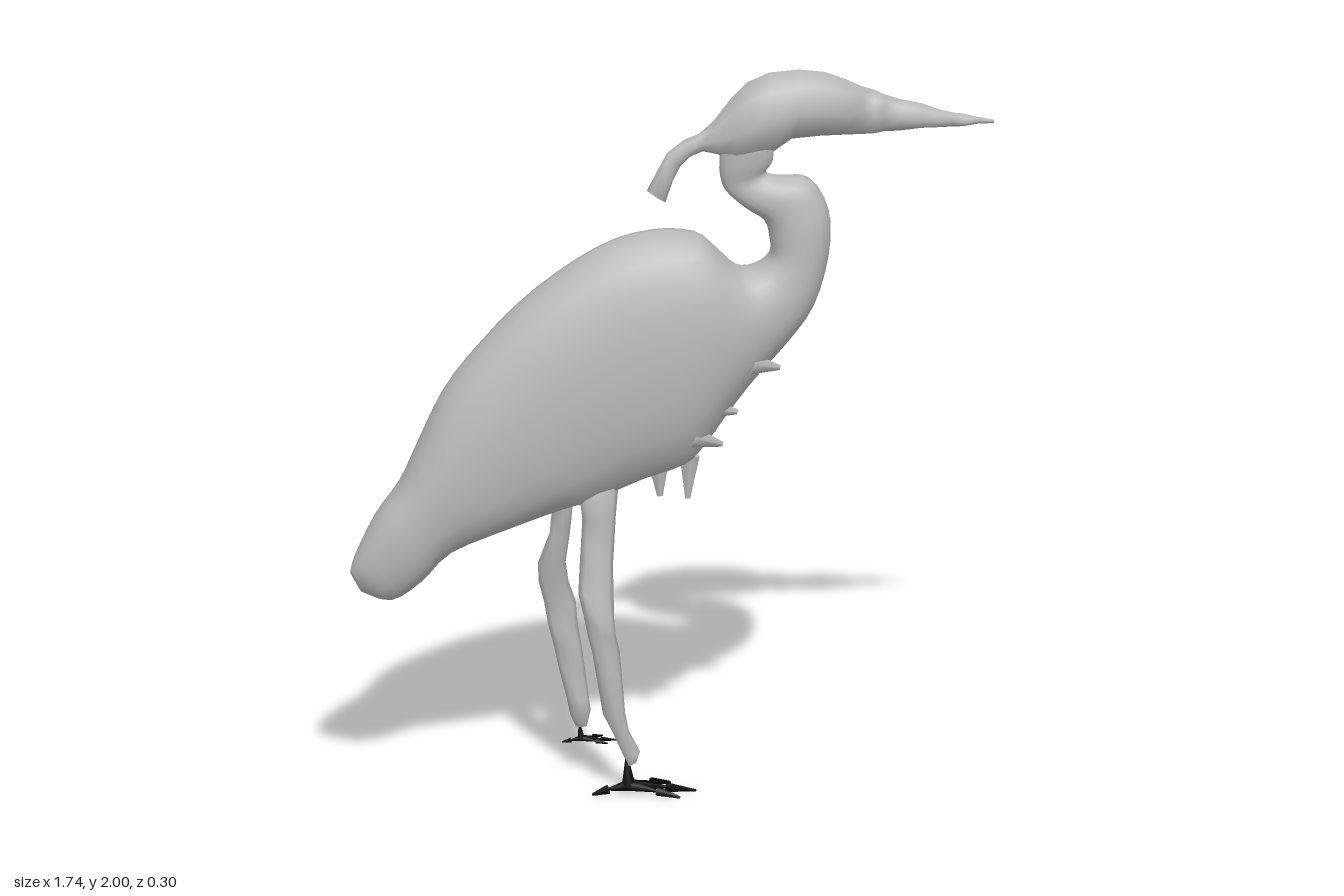
import * as THREE from 'three';

const plumage = new THREE.MeshStandardMaterial({ color: 0xbababa });
plumage.name = 'greyPlumage';
const claw = new THREE.MeshStandardMaterial({ color: 0x060606 });
claw.name = 'blackFeet';

// Loft through sections [ax, ay, bx, by, w, z]: an oval spanning edge points A and B,
// with half thickness w, centred on depth z. "power" above 1 makes the oval more diamond-like.
function loft(name, sections, { sides = 8, sub = 1, power = 1, material = plumage } = {}) {
  const close = ([ax, ay, bx, by, , z = 0]) =>
    [(ax + bx) / 2, (ay + by) / 2, (ax + bx) / 2, (ay + by) / 2, 0, z];
  const n = sections.length - 1;
  const rows = [close(sections[0])];
  for (let i = 0; i <= n * sub; i++) {
    const k = Math.min(Math.floor(i / sub), n - 1), t = i / sub - k;
    const at = (j) => sections[Math.max(0, Math.min(n, j))];
    rows.push([0, 1, 2, 3, 4, 5].map((c) => {
      const [p, q, r, s] = [at(k - 1), at(k), at(k + 1), at(k + 2)].map((v) => v[c] ?? 0);
      return q + 0.5 * t * (r - p + t * (2 * p - 5 * q + 4 * r - s + t * (3 * (q - r) + s - p)));
    }));
  }
  rows.push(close(sections[n]));
  const pos = [], index = [];
  const bend = (v) => Math.sign(v) * Math.abs(v) ** power;
  rows.forEach(([ax, ay, bx, by, w, z], i) => {
    for (let j = 0; j < sides; j++) {
      const a = (j / sides) * Math.PI * 2, c = bend(Math.cos(a)), s = bend(Math.sin(a));
      pos.push((ax + bx) / 2 + (ax - bx) / 2 * c, (ay + by) / 2 + (ay - by) / 2 * c, z + w * s);
      if (i < rows.length - 1) {
        const p = i * sides + j, q = i * sides + (j + 1) % sides;
        index.push(p, q, p + sides, q, q + sides, p + sides);
      }
    }
  });
  const g = new THREE.BufferGeometry();
  g.setAttribute('position', new THREE.Float32BufferAttribute(pos, 3));
  g.setIndex(index);
  g.computeVertexNormals();
  const mesh = new THREE.Mesh(g, material);
  mesh.name = name;
  return mesh;
}

// Cone with its base at one point and its tip at another
function spike(name, from, to, radius, material, flat = 1) {
  const a = new THREE.Vector3(...from), d = new THREE.Vector3(...to).sub(a);
  const g = new THREE.CylinderGeometry(radius * 0.25, radius, d.length(), 6);
  g.scale(1, 1, flat);
  const mesh = new THREE.Mesh(g, material);
  mesh.position.copy(a).addScaledVector(d, 0.5);
  mesh.quaternion.setFromUnitVectors(new THREE.Vector3(0, 1, 0), d.normalize());
  mesh.name = name;
  return mesh;
}

// Foot: short shank, three fanned front toes and one back toe
function foot(name, x, y, z, s) {
  const group = new THREE.Group();
  group.name = name;
  const hub = [x, y + 0.025 * s, z];
  group.add(spike('shank', hub, [x - 0.005, y + 0.1 * s, z], 0.02 * s, claw));
  const toes = [[0.18, 0.012], [0.13, 0.062], [0.12, -0.065], [-0.1, 0.01]];
  for (const [dx, dz] of toes) {
    const knuckle = [x + dx * s * 0.55, y + 0.018 * s, z + dz * s * 0.6];
    group.add(spike('toeBase', hub, knuckle, 0.016 * s, claw));
    group.add(spike('toeTip', knuckle, [x + dx * s, y + 0.006, z + dz * s], 0.013 * s, claw));
  }
  return group;
}

export function createModel() {
  const bird = new THREE.Group();
  bird.name = 'wadingBird';

  // Tail, body and S-shaped neck in one smooth skin
  bird.add(loft('bodyAndNeck', [
    [-0.87, 0.63, -0.84, 0.575, 0.015],
    [-0.855, 0.68, -0.76, 0.55, 0.055],
    [-0.8, 0.79, -0.68, 0.6, 0.085],
    [-0.735, 0.88, -0.6, 0.68, 0.1],
    [-0.69, 0.98, -0.45, 0.74, 0.12],
    [-0.62, 1.13, -0.3, 0.79, 0.133],
    [-0.52, 1.26, -0.22, 0.81, 0.14],
    [-0.38, 1.4, -0.08, 0.865, 0.147],
    [-0.2, 1.52, 0.03, 0.9, 0.15],
    [-0.06, 1.56, 0.08, 0.95, 0.15],
    [0.06, 1.55, 0.15, 1.05, 0.143],
    [0.12, 1.5, 0.22, 1.14, 0.125],
    [0.17, 1.45, 0.31, 1.24, 0.105],
    [0.22, 1.45, 0.38, 1.34, 0.09],
    [0.26, 1.48, 0.42, 1.48, 0.08],
    [0.26, 1.53, 0.42, 1.6, 0.076],
    [0.245, 1.58, 0.37, 1.69, 0.065],
    [0.19, 1.62, 0.29, 1.7, 0.05],
    [0.14, 1.67, 0.25, 1.715, 0.035],
    [0.125, 1.73, 0.27, 1.75, 0.045],
    [0.13, 1.8, 0.27, 1.8, 0.05],
  ], { sides: 20, sub: 3, power: 0.9 }));

  // Drooping crest, head and beak, with pinched folds
  bird.add(loft('headCrestAndBeak', [
    [-0.07, 1.675, -0.02, 1.64, 0.01],
    [-0.045, 1.725, 0, 1.7, 0.026],
    [-0.015, 1.78, 0.02, 1.74, 0.01],
    [0.03, 1.815, 0.045, 1.765, 0.03],
    [0.07, 1.83, 0.08, 1.78, 0.015],
    [0.11, 1.865, 0.12, 1.77, 0.04],
    [0.16, 1.93, 0.17, 1.75, 0.065],
    [0.2, 1.97, 0.22, 1.76, 0.08],
    [0.26, 1.995, 0.27, 1.77, 0.084],
    [0.34, 2, 0.32, 1.805, 0.084],
    [0.41, 1.99, 0.4, 1.81, 0.08],
    [0.47, 1.965, 0.46, 1.81, 0.068],
    [0.51, 1.945, 0.51, 1.81, 0.02],
    [0.54, 1.935, 0.54, 1.81, 0.05],
    [0.57, 1.92, 0.57, 1.815, 0.022],
    [0.61, 1.905, 0.61, 1.815, 0.04],
    [0.67, 1.89, 0.67, 1.82, 0.045],
    [0.72, 1.87, 0.72, 1.82, 0.034],
    [0.755, 1.86, 0.755, 1.82, 0.012],
    [0.785, 1.855, 0.785, 1.82, 0.024],
    [0.82, 1.845, 0.82, 1.825, 0.009],
    [0.865, 1.835, 0.865, 1.825, 0.003],
  ], { power: 1.1 }));

  // Left leg, planted forward
  bird.add(loft('leftLeg', [
    [-0.15, 0.88, -0.26, 0.86, 0.03, 0.04],
    [-0.16, 0.77, -0.25, 0.77, 0.035, 0.045],
    [-0.165, 0.7, -0.255, 0.7, 0.02, 0.055],
    [-0.17, 0.64, -0.26, 0.64, 0.035, 0.065],
    [-0.17, 0.57, -0.265, 0.57, 0.016, 0.08],
    [-0.17, 0.5, -0.25, 0.5, 0.04, 0.09],
    [-0.165, 0.45, -0.24, 0.45, 0.02, 0.09],
    [-0.155, 0.41, -0.23, 0.41, 0.03, 0.09],
    [-0.14, 0.23, -0.2, 0.23, 0.03, 0.09],
    [-0.13, 0.18, -0.175, 0.18, 0.01, 0.09],
    [-0.1, 0.12, -0.14, 0.1, 0.014, 0.09],
    [-0.11, 0.09, -0.135, 0.08, 0.008, 0.09],
  ]));

  // Right leg, slightly raised behind
  bird.add(loft('rightLeg', [
    [-0.25, 0.87, -0.33, 0.87, 0.03, -0.04],
    [-0.265, 0.77, -0.32, 0.77, 0.035, -0.045],
    [-0.27, 0.7, -0.325, 0.7, 0.02, -0.055],
    [-0.28, 0.61, -0.355, 0.61, 0.035, -0.07],
    [-0.27, 0.55, -0.35, 0.55, 0.02, -0.09],
    [-0.25, 0.49, -0.335, 0.49, 0.026, -0.092],
    [-0.245, 0.43, -0.325, 0.43, 0.016, -0.092],
    [-0.235, 0.37, -0.31, 0.37, 0.03, -0.092],
    [-0.225, 0.3, -0.295, 0.3, 0.014, -0.092],
    [-0.215, 0.22, -0.275, 0.22, 0.03, -0.092],
    [-0.21, 0.18, -0.265, 0.17, 0.024, -0.092],
    [-0.22, 0.135, -0.25, 0.135, 0.008, -0.092],
  ]));

  bird.add(foot('leftFoot', -0.13, 0, 0.088, 1));
  bird.add(foot('rightFoot', -0.235, 0.088, -0.092, 0.52));

  // Ragged feathers under the belly
  for (const [x, tipX, tipY, r] of [[-0.04, -0.035, 0.81, 0.035], [0.045, 0.04, 0.8, 0.03]])
    bird.add(spike('bellyFeather', [x, 0.92, 0], [tipX, tipY, 0], r, plumage, 0.6));

  // Chest feather tufts on both sides
  for (const side of [-1, 1])
    for (const [x, y, tx, ty] of [[0.2, 1.2, 0.28, 1.18], [0.07, 1.08, 0.165, 1.06], [0.04, 1, 0.125, 0.97]])
      bird.add(spike('chestFeather', [x, y, side * 0.075], [tx, ty, side * 0.06], 0.032, plumage));

  return bird;
}
